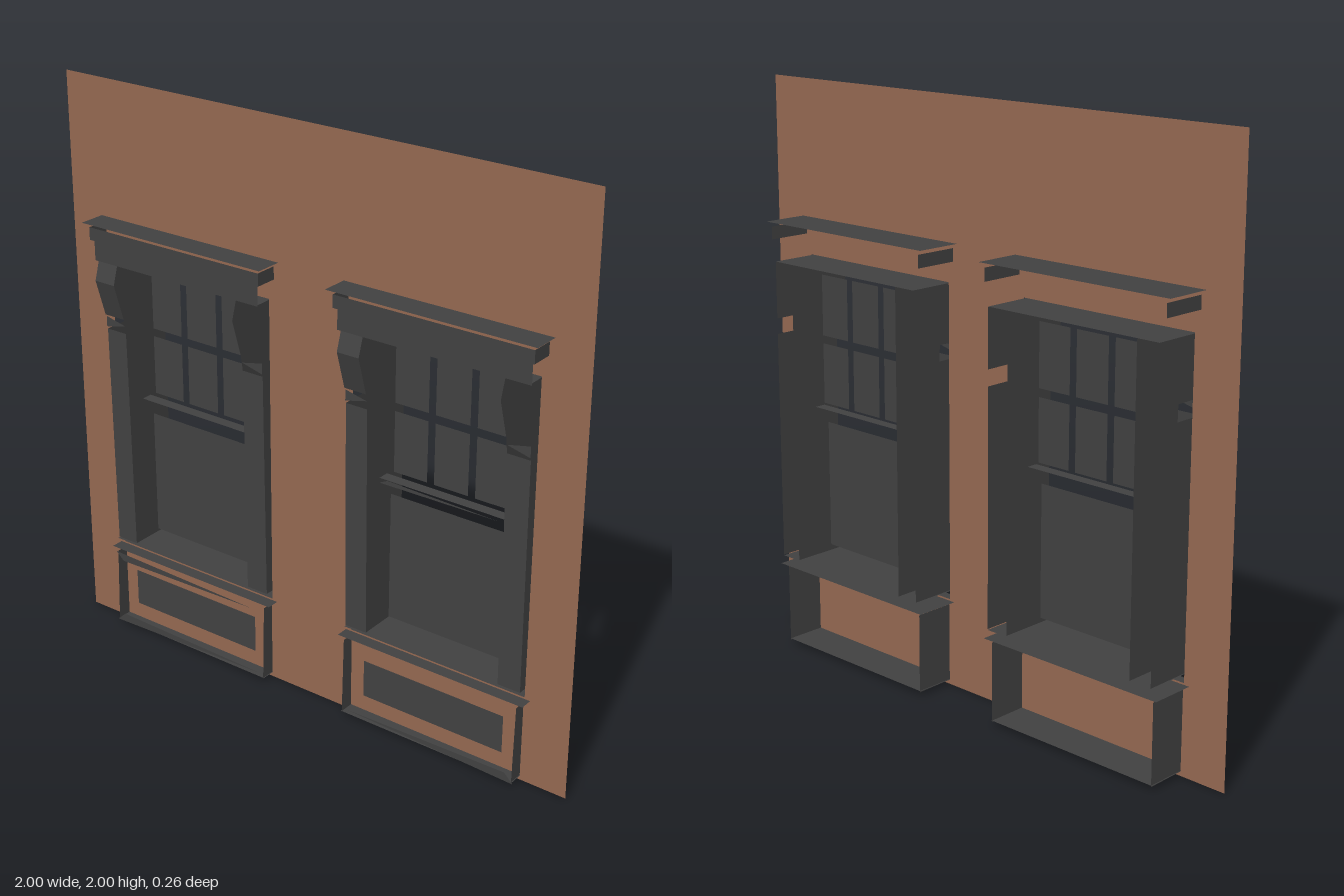
import * as THREE from 'three';

const brick = new THREE.MeshStandardMaterial({ color: 0x946851, side: THREE.DoubleSide });
brick.name = 'brownWall';
const trim = new THREE.MeshStandardMaterial({ color: 0x414141, side: THREE.DoubleSide });
trim.name = 'darkTrim';

function add(group, name, geometry, material = trim) {
  const mesh = new THREE.Mesh(geometry, material);
  mesh.name = name;
  group.add(mesh);
  return mesh;
}

// Four corners in order around the sheet
function quad(group, name, a, b, c, d) {
  const g = new THREE.BufferGeometry();
  g.setAttribute('position', new THREE.Float32BufferAttribute([...a, ...b, ...c, ...d], 3));
  g.setIndex([0, 1, 2, 0, 2, 3]);
  g.computeVertexNormals();
  return add(group, name, g);
}

// Upright sheet facing the front
const front = (group, name, x0, x1, y0, y1, z) =>
  quad(group, name, [x0, y0, z], [x1, y0, z], [x1, y1, z], [x0, y1, z]);

// Level sheet facing up
const level = (group, name, halfWidth, y, z0, z1) =>
  quad(group, name, [-halfWidth, y, z1], [halfWidth, y, z1], [halfWidth, y, z0], [-halfWidth, y, z0]);

// Thin pointed lip facing the front, outlined by [x, y] points
function lip(group, name, z, outline) {
  const shape = new THREE.Shape(outline.map(([x, y]) => new THREE.Vector2(x, y)));
  add(group, name, new THREE.ShapeGeometry(shape)).position.z = z;
}

// Upright sheet facing sideways, outlined by [z, y] points
function side(group, name, x, outline) {
  const shape = new THREE.Shape(outline.map(([z, y]) => new THREE.Vector2(-z, y)));
  const g = new THREE.ShapeGeometry(shape);
  g.rotateY(Math.PI / 2);
  add(group, name, g).position.x = x;
}

const BACK = -0.13;
const FOOT = 0.341;
const bracketProfile = [[0.075, 1.197], [0.115, 1.33], [0.095, 1.394]];

function createWindow(isLeft) {
  const w = new THREE.Group();

  // Glass panes: two rows of three above one large pane
  for (let col = 0; col < 3; col++) {
    const x = -0.216 + col * 0.152;
    front(w, 'upperPane', x, x + 0.126, 1.141, 1.353, -0.03);
    front(w, 'middlePane', x, x + 0.126, 0.902, 1.113, -0.03);
  }
  front(w, 'lowerPane', -0.216, 0.213, 0.381, 0.83, -0.015);

  // Thin rail between the sashes
  level(w, 'meetingRail', 0.25, 0.882, -0.04, 0.0);
  if (isLeft) lip(w, 'railLip', 0, [[-0.25, 0.865], [0.19, 0.869], [-0.22, 0.88]]);

  // Hollow casings with curved brackets above
  for (const s of [-1, 1]) {
    const outer = s * 0.335, inner = s * 0.253;
    side(w, 'casingOuterSide', outer, [[BACK, FOOT], [0.06, FOOT], [0.067, 1.143], [BACK, 1.143]]);
    side(w, 'bracketOuterSide', outer, [[BACK, 1.197], ...bracketProfile, [BACK, 1.394]]);
    side(w, 'casingInnerSide', inner,
      [[BACK, FOOT], [0.06, FOOT], [0.067, 1.143], ...bracketProfile, [BACK, 1.394]]);
    quad(w, 'casingFront', [outer, FOOT, 0.06], [inner, FOOT, 0.06], [inner, 1.143, 0.067], [outer, 1.143, 0.067]);
    lip(w, 'bracketTongue', 0.07, [[outer, 1.152], [inner, 1.172], [outer, 1.19]]);
    if (s < 0) {
      for (let i = 0; i < 2; i++) {
        const [z0, y0] = bracketProfile[i], [z1, y1] = bracketProfile[i + 1];
        quad(w, 'bracketFront', [outer, y0, z0], [inner, y0, z0], [inner, y1, z1], [outer, y1, z1]);
      }
    }
  }

  // Head and sill
  level(w, 'head', 0.335, 1.395, BACK, 0.09);
  level(w, 'sill', 0.335, 0.338, BACK, 0.066);

  // Cornice with frieze
  front(w, 'frieze', -0.345, 0.345, 1.396, 1.47, 0.1);
  front(w, 'corniceFront', -0.356, 0.356, 1.468, 1.512, 0.11);
  for (const s of [-1, 1])
    side(w, 'corniceEnd', s * 0.355, [[-0.126, 1.468], [0.11, 1.468], [0.11, 1.512], [-0.126, 1.512]]);
  level(w, 'corniceTop', 0.373, 1.528, -0.134, 0.126);

  // Apron box with a flat panel
  front(w, 'apronPanel', -0.27, 0.27, 0.085, 0.22, 0.045);
  for (const s of [-1, 1])
    side(w, 'apronSide', s * 0.332, [[-0.112, 0.013], [0.082, 0.016], [0.073, 0.29], [-0.112, 0.29]]);
  level(w, 'apronBottom', 0.335, 0.018, -0.112, 0.082);
  level(w, 'apronTop', 0.355, 0.303, -0.128, 0.075);

  // Pointed lips along the apron edges
  const f = isLeft ? -1 : 1;
  lip(w, 'apronBottomLip', 0.082, [[-0.338 * f, 0.012], [0.315 * f, 0.032], [-0.305 * f, 0.044]]);
  if (!isLeft) lip(w, 'apronTopLip', 0.076, [[-0.338, 0.288], [-0.305, 0.259], [0.275, 0.273]]);
  return w;
}

export function createModel() {
  const model = new THREE.Group();
  model.name = 'windowWall';

  // Flat wall with two window openings
  const rect = (Type, x0, x1, y0, y1) => new Type([[x0, y0], [x1, y0], [x1, y1], [x0, y1]]
    .map(([x, y]) => new THREE.Vector2(x, y)));
  const shape = rect(THREE.Shape, -1, 1, 0, 2);
  for (const cx of [-0.5, 0.5])
    shape.holes.push(rect(THREE.Path, cx - 0.335, cx + 0.335, 0.309, 1.398));
  add(model, 'wall', new THREE.ShapeGeometry(shape), brick).position.z = 0.03;

  // Two windows
  for (const s of [-1, 1]) {
    const w = createWindow(s > 0);
    w.name = s > 0 ? 'leftWindow' : 'rightWindow';
    w.position.x = s * 0.5;
    model.add(w);
  }
  return model;
}
